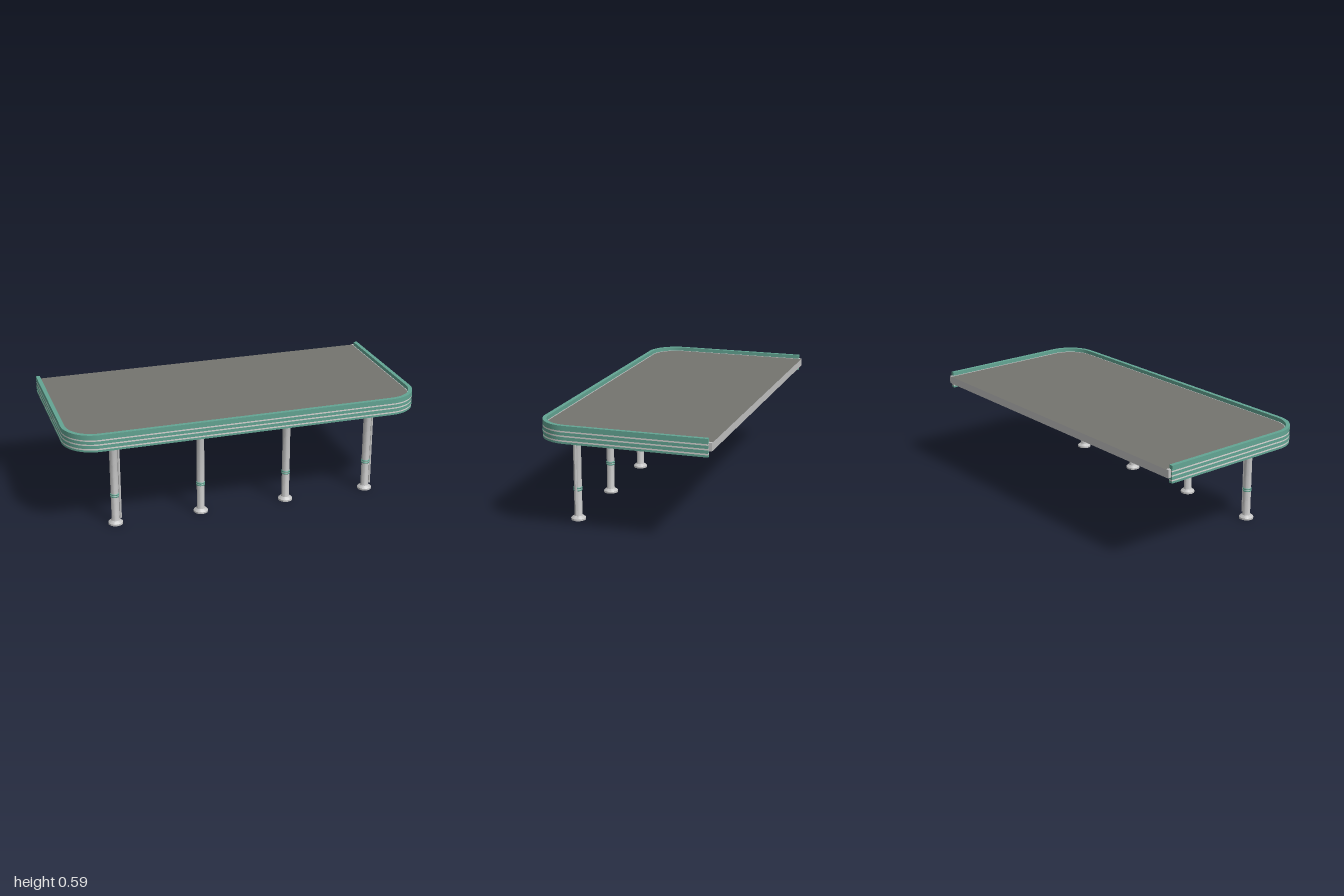
import * as THREE from 'three';
import { toCreasedNormals } from 'three/addons/utils/BufferGeometryUtils.js';

const mat = (name, color) => Object.assign(new THREE.MeshStandardMaterial({ color }), { name });

const FRONT = 0.4775, CORNER = 0.175;

// Canopy plan (shape y becomes z): straight back, two rounded front corners
function plan(inset, back) {
  const x = 1 - inset, f = FRONT - inset, r = CORNER - inset;
  const s = new THREE.Shape();
  s.moveTo(-x, back);
  s.lineTo(x, back);
  s.lineTo(x, f - r);
  s.absarc(x - r, f - r, r, 0, Math.PI / 2, false);
  s.lineTo(-x + r, f);
  s.absarc(-x + r, f - r, r, Math.PI / 2, Math.PI, false);
  s.lineTo(-x, back);
  return s;
}

// U-shaped strip along the two sides and the front, open at the back
function strip(outer, inner, back) {
  const edge = (inset) => {
    const x = 1 - inset, f = FRONT - inset, r = CORNER - inset, pts = [new THREE.Vector2(x, back)];
    for (const side of [1, -1])
      for (let i = 0; i <= 16; i++) {
        const a = (side > 0 ? 0 : Math.PI / 2) + (i / 16) * Math.PI / 2;
        pts.push(new THREE.Vector2(side * (x - r) + r * Math.cos(a), f - r + r * Math.sin(a)));
      }
    pts.push(new THREE.Vector2(-x, back));
    return pts;
  };
  return new THREE.Shape([...edge(outer), ...edge(inner).reverse()]);
}

// Extrude a plan shape vertically from y0 to y1
function slabGeo(shape, y0, y1) {
  const g = new THREE.ExtrudeGeometry(shape, { depth: y1 - y0, bevelEnabled: false, curveSegments: 16 });
  g.rotateX(Math.PI / 2);
  g.translate(0, y1, 0);
  return toCreasedNormals(g, 0.5);
}

export function createModel() {
  const teal = mat('teal paint', 0x63a593);
  const metal = mat('light metal', 0xc2c2c2);
  const trim = mat('pale trim', 0xd9d6d4);
  const roof = mat('dark roofing', 0x74746f);
  const soffit = mat('pale soffit', 0xcbc9c5);
  const lampMat = mat('warm lamp', 0xd0b878);

  const model = new THREE.Group();
  model.name = 'canopy';
  const add = (parent, name, geo, material, x = 0, y = 0, z = 0) => {
    const m = new THREE.Mesh(geo, material);
    m.name = name;
    m.position.set(x, y, z);
    parent.add(m);
    return m;
  };

  // Roof deck: dark top, light metal edge, pale soffit beneath
  add(model, 'roofDeck', slabGeo(plan(0.024, -FRONT), 0.531, 0.57), [roof, metal]);
  add(model, 'deckFrame', slabGeo(strip(0.008, 0.026, -FRONT), 0.528, 0.572), metal);
  add(model, 'soffit', slabGeo(plan(0.021, -FRONT), 0.527, 0.531), [soffit, metal]);

  // Fascia: teal bands separated by slightly recessed pale stripes
  const BACK = -0.46;
  for (const [y0, y1] of [[0.498, 0.509], [0.517, 0.534], [0.542, 0.558], [0.566, 0.593]])
    add(model, 'fasciaBand', slabGeo(strip(0, 0.022, BACK), y0, y1), teal);
  for (const [y0, y1] of [[0.509, 0.517], [0.534, 0.542], [0.558, 0.566]])
    add(model, 'fasciaStripe', slabGeo(strip(0.001, 0.022, BACK), y0, y1), trim);

  // Two rows of flush lamps under the soffit
  const lamps = new THREE.Group();
  lamps.name = 'ceilingLamps';
  const lampGeo = new THREE.BoxGeometry(0.1, 0.003, 0.012);
  for (const z of [-0.25, 0.095])
    for (let i = 0; i < 11; i++) add(lamps, 'lamp', lampGeo, lampMat, (i - 5) * 0.166, 0.527, z);
  model.add(lamps);

  // Columns with flared foot and capital, twin collars, and drainpipes on the outer ones
  const profile = [[0, 0], [0.04, 0], [0.04, 0.01], [0.036, 0.014], [0.024, 0.023], [0.0215, 0.03],
    [0.0215, 0.47], [0.0235, 0.482], [0.03, 0.5], [0.038, 0.528]];
  const columnGeo = toCreasedNormals(
    new THREE.LatheGeometry(profile.map(([r, y]) => new THREE.Vector2(r, y)), 24), 0.5);
  const collarGeo = new THREE.TorusGeometry(0.0195, 0.0055, 8, 24).rotateX(Math.PI / 2);
  const pipeGeo = toCreasedNormals(new THREE.CylinderGeometry(0.0075, 0.0075, 0.5, 8), 0.5);
  for (const x of [-0.733, -0.249, 0.249, 0.733]) {
    const post = new THREE.Group();
    post.name = 'column';
    post.position.set(x, 0, 0.342);
    add(post, 'shaft', columnGeo, metal);
    for (const y of [0.1675, 0.1795]) add(post, 'collar', collarGeo, teal, 0, y, 0);
    if (Math.abs(x) > 0.5) add(post, 'drainpipe', pipeGeo, metal, 0.028, 0.28, 0);
    model.add(post);
  }
  return model;
}
